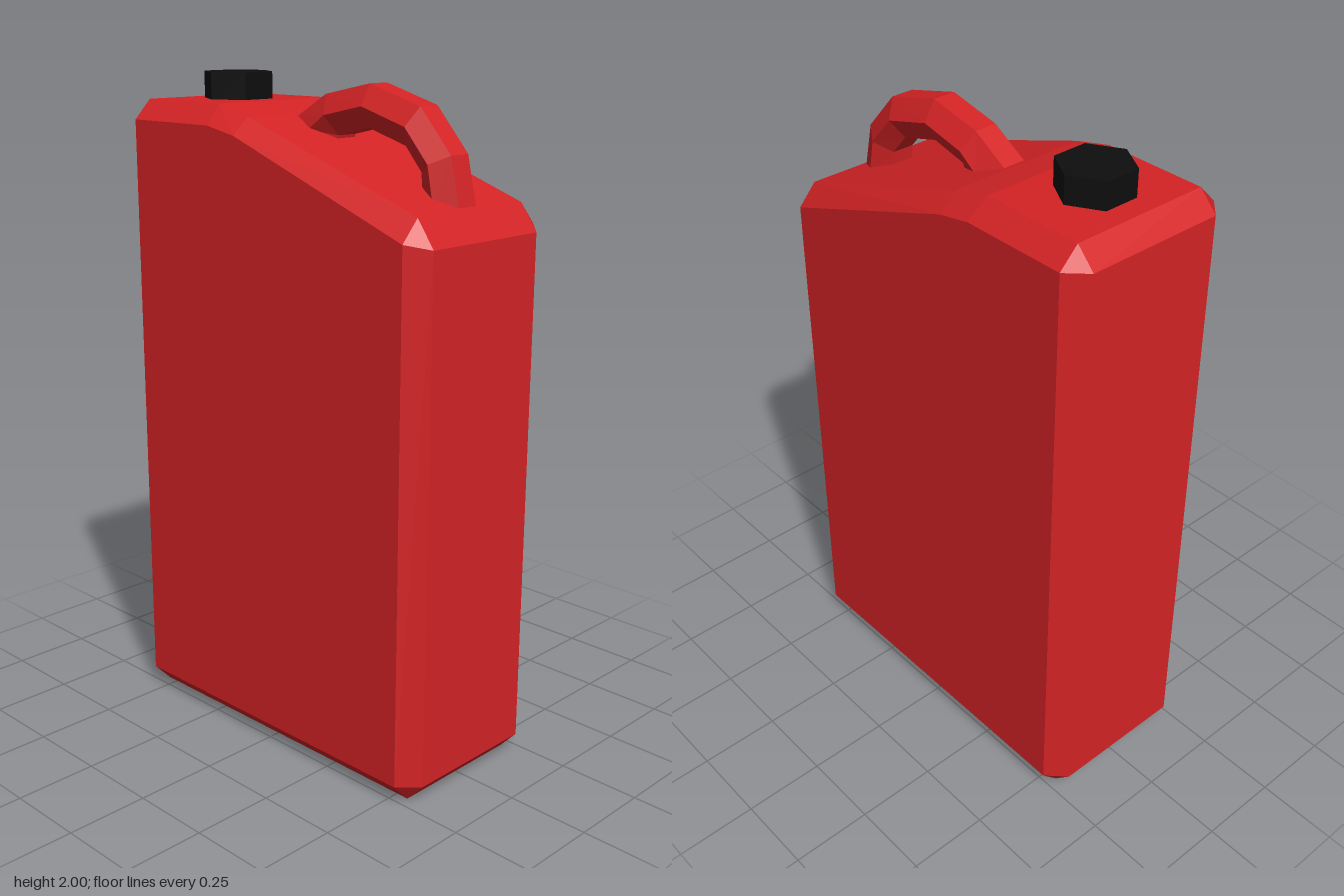
import * as THREE from 'three';
import { ConvexGeometry } from 'three/addons/geometries/ConvexGeometry.js';

const red = new THREE.MeshStandardMaterial({ color: 0xd42325, flatShading: true });
const black = new THREE.MeshStandardMaterial({ color: 0x0e0e0e, flatShading: true });

// Chamfered can: full outline at the shoulders, inset outline on the two big faces
function bodyGeometry() {
  const full = [
    [-0.54, 0], [0.54, 0], [0.596, 0.06], [0.596, 1.592], [0.54, 1.67],
    [-0.1, 1.89], [-0.22, 1.92], [-0.54, 1.92], [-0.596, 1.862], [-0.596, 0.06],
  ];
  const inset = [
    [-0.54, 0.06], [0.54, 0.06], [0.54, 1.607], [-0.1, 1.84], [-0.21, 1.862], [-0.54, 1.862],
  ];
  const points = [];
  for (const side of [-1, 1]) {
    for (const [x, y] of full) points.push(new THREE.Vector3(x, y, side * 0.215));
    for (const [x, y] of inset) points.push(new THREE.Vector3(x, y, side * 0.272));
  }
  return new ConvexGeometry(points);
}

// Hexagonal grip lofted between an outer and an inner arc
function handleGeometry() {
  const outer = [[-0.09, 1.88], [0.03, 1.95], [0.2, 1.985], [0.385, 1.932], [0.495, 1.81], [0.53, 1.66]];
  const inner = [[0.075, 1.82], [0.08, 1.838], [0.2, 1.865], [0.335, 1.825], [0.392, 1.76], [0.4, 1.69]];
  // each corner: blend from outer (0) to inner (1), and z
  const section = [[0, 0.035], [0.5, 0.07], [1, 0.035], [1, -0.035], [0.5, -0.07], [0, -0.035]];
  const n = section.length;
  const positions = [], index = [];
  outer.forEach(([ox, oy], i) => {
    const [ix, iy] = inner[i];
    for (const [t, z] of section) positions.push(ox + (ix - ox) * t, oy + (iy - oy) * t, z);
  });
  for (let i = 0; i < outer.length - 1; i++) {
    for (let j = 0; j < n; j++) {
      const a = i * n + j, b = i * n + (j + 1) % n;
      index.push(a, b, b + n, a, b + n, a + n);
    }
  }
  const geometry = new THREE.BufferGeometry();
  geometry.setAttribute('position', new THREE.Float32BufferAttribute(positions, 3));
  geometry.setIndex(index);
  const flat = geometry.toNonIndexed();
  flat.computeVertexNormals();
  return flat;
}

export function createModel() {
  const group = new THREE.Group();
  group.name = 'fuelCan';
  const add = (name, geometry, material) => {
    const mesh = new THREE.Mesh(geometry, material);
    mesh.name = name;
    group.add(mesh);
    return mesh;
  };
  add('body', bodyGeometry(), red);
  add('handle', handleGeometry(), red);
  // Hexagonal screw cap
  add('cap', new THREE.CylinderGeometry(0.108, 0.108, 0.09, 6), black).position.set(-0.38, 1.955, 0);
  return group;
}
